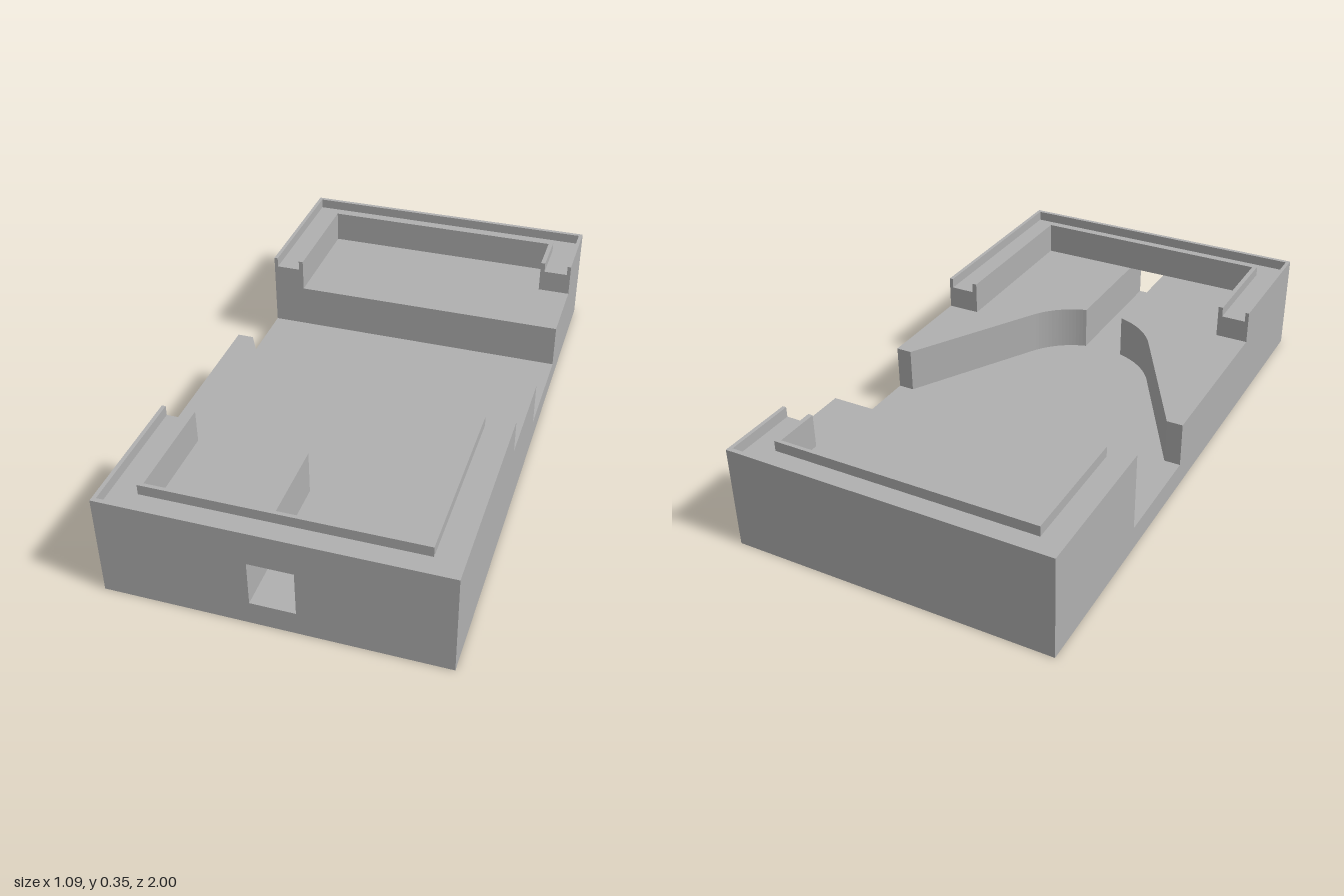
import * as THREE from 'three';

const HALF_W = 0.545, FLOOR = 0.08, DECK = 0.235, GROOVE = 0.315, TOP = 0.35;

export function createModel() {
  const model = new THREE.Group();
  model.name = 'tray';
  const grey = new THREE.MeshStandardMaterial({ color: 0xb0b0b0 });
  grey.name = 'plain grey';

  // Extrude a plan outline of [x, z] points from y0 up to y1
  function slab(name, points, y0, y1, parent = model) {
    const shape = new THREE.Shape(points.map(([x, z]) => new THREE.Vector2(x, -z)));
    const geometry = new THREE.ExtrudeGeometry(shape, { depth: y1 - y0, bevelEnabled: false });
    geometry.rotateX(-Math.PI / 2);
    geometry.translate(0, y0, 0);
    const mesh = new THREE.Mesh(geometry, grey);
    mesh.name = name;
    parent.add(mesh);
  }

  const rect = (z0, z1) => [[-HALF_W, z0], [HALF_W, z0], [HALF_W, z1], [-HALF_W, z1]];

  // Floor and raised back deck
  slab('floor', rect(-1, 1), 0, FLOOR);
  slab('backDeck', rect(-1, -0.47), FLOOR, DECK);

  // Mirrored front decks: slanted sides curving into a narrow channel
  const radius = 0.271, centreZ = 0.217;
  const start = Math.PI / 6, end = Math.acos(0.072 / radius);
  for (const side of [-1, 1]) {
    const points = [[HALF_W, -0.095], [0.49, -0.095]];
    for (let i = 0; i <= 16; i++) {
      const a = start + (end - start) * i / 16;
      points.push([radius * Math.cos(a), centreZ + radius * Math.sin(a)]);
    }
    points.push([0.072, 1], [HALF_W, 1]);
    slab(side > 0 ? 'leftFrontDeck' : 'rightFrontDeck',
      points.map(([x, z]) => [x * side, z]), FLOOR, DECK);
  }

  // Grooved U-shaped rim: wall body with thin outer and inner lips
  function rim(name, end, leftZ, rightZ) {
    const group = new THREE.Group();
    group.name = name;
    model.add(group);
    const band = (xOut, xIn, zOut, zIn) => [
      [-xOut, rightZ], [-xOut, end * zOut], [xOut, end * zOut], [xOut, leftZ],
      [xIn, leftZ], [xIn, end * zIn], [-xIn, end * zIn], [-xIn, rightZ],
    ];
    slab('wall', band(HALF_W, 0.431, 1, 0.885), DECK, GROOVE, group);
    slab('outerLip', band(HALF_W, 0.532, 1, 0.985), GROOVE, TOP, group);
    slab('innerLip', band(0.447, 0.431, 0.898, 0.885), GROOVE, TOP, group);
  }
  rim('frontRim', 1, 0.275, 0.52);
  rim('backRim', -1, -0.73, -0.47);

  return model;
}
